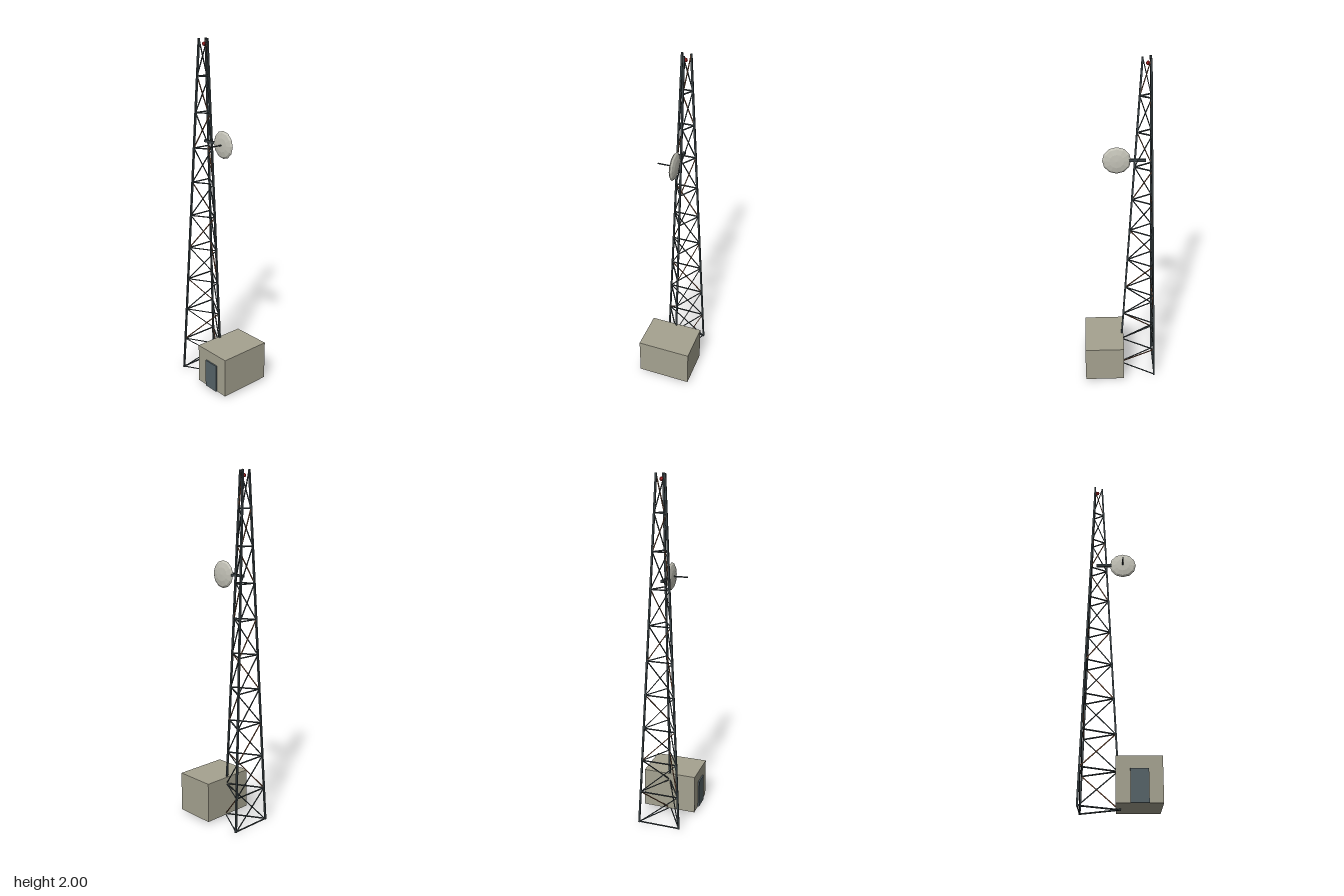
import * as THREE from 'three';

const mat = (name, color) => {
  const m = new THREE.MeshStandardMaterial({ color });
  m.name = name;
  return m;
};

export function createModel() {
  const steel = mat('dark steel', 0x3c4548);
  const rust = mat('rusted steel', 0x80553c);
  const concrete = mat('concrete', 0xa5a290);
  const doorPaint = mat('door grey', 0x566368);
  const dishPaint = mat('dish white', 0xc6c5ba);
  const red = mat('beacon red', 0xc02a2a);
  dishPaint.flatShading = true;
  red.flatShading = true;

  const model = new THREE.Group();
  const add = (parent, name, geometry, material, x = 0, y = 0, z = 0) => {
    const mesh = new THREE.Mesh(geometry, material);
    mesh.name = name;
    mesh.position.set(x, y, z);
    parent.add(mesh);
    return mesh;
  };

  // Square bar running between two points
  const up = new THREE.Vector3(0, 1, 0);
  const bar = (parent, name, a, b, width, material) => {
    const dir = b.clone().sub(a);
    const mid = a.clone().add(b).multiplyScalar(0.5);
    const mesh = add(parent, name, new THREE.BoxGeometry(width, dir.length(), width), material, mid.x, mid.y, mid.z);
    mesh.quaternion.setFromUnitVectors(up, dir.normalize());
  };

  // Three-legged lattice mast, tapering to the top
  const mast = new THREE.Group();
  mast.name = 'latticeMast';
  model.add(mast);
  const cx = -0.14, cz = -0.005, levels = 10;
  const corner = (leg, level) => {
    const r = THREE.MathUtils.lerp(0.142, 0.028, level / levels);
    const a = (leg % 3) * Math.PI * 2 / 3;
    return new THREE.Vector3(cx + r * Math.cos(a), level * 2 / levels, cz - r * Math.sin(a));
  };
  for (let leg = 0; leg < 3; leg++) {
    bar(mast, 'leg', corner(leg, 0), corner(leg, levels), 0.01, steel);
    for (let i = 0; i < levels; i++) {
      const rusty = (i + leg) % 3 === 0;
      const ringLevel = i === 0 ? 0.02 : i;
      bar(mast, 'horizontalBrace', corner(leg, ringLevel), corner(leg + 1, ringLevel), 0.006, steel);
      bar(mast, 'diagonalBrace', corner(leg, i), corner(leg + 1, i + 1), 0.005, rusty ? rust : steel);
    }
  }

  // Warning light inside the mast head
  add(model, 'beacon', new THREE.SphereGeometry(0.011, 8, 6), red, cx, 1.97, cz);

  // Dish on a side arm, with its feed rod facing front
  const dish = new THREE.Group();
  dish.name = 'dishAntenna';
  dish.position.set(0.018, 1.44, -0.005);
  model.add(dish);
  const shell = new THREE.SphereGeometry(1, 12, 6).rotateX(Math.PI / 2).scale(0.078, 0.078, 0.016);
  add(dish, 'dishShell', shell, dishPaint);
  add(dish, 'feedRod', new THREE.CylinderGeometry(0.004, 0.004, 0.085, 6).rotateX(Math.PI / 2), steel, 0, 0, 0.053);
  add(dish, 'mountArm', new THREE.BoxGeometry(0.1, 0.014, 0.014), steel, -0.108, 0, 0);

  // Equipment hut with a door
  const hut = new THREE.Group();
  hut.name = 'equipmentHut';
  model.add(hut);
  add(hut, 'hutWalls', new THREE.BoxGeometry(0.237, 0.235, 0.318), concrete, 0.098, 0.1275, -0.005);
  add(hut, 'door', new THREE.BoxGeometry(0.094, 0.17, 0.009), doorPaint, 0.099, 0.095, 0.1575);

  return model;
}
